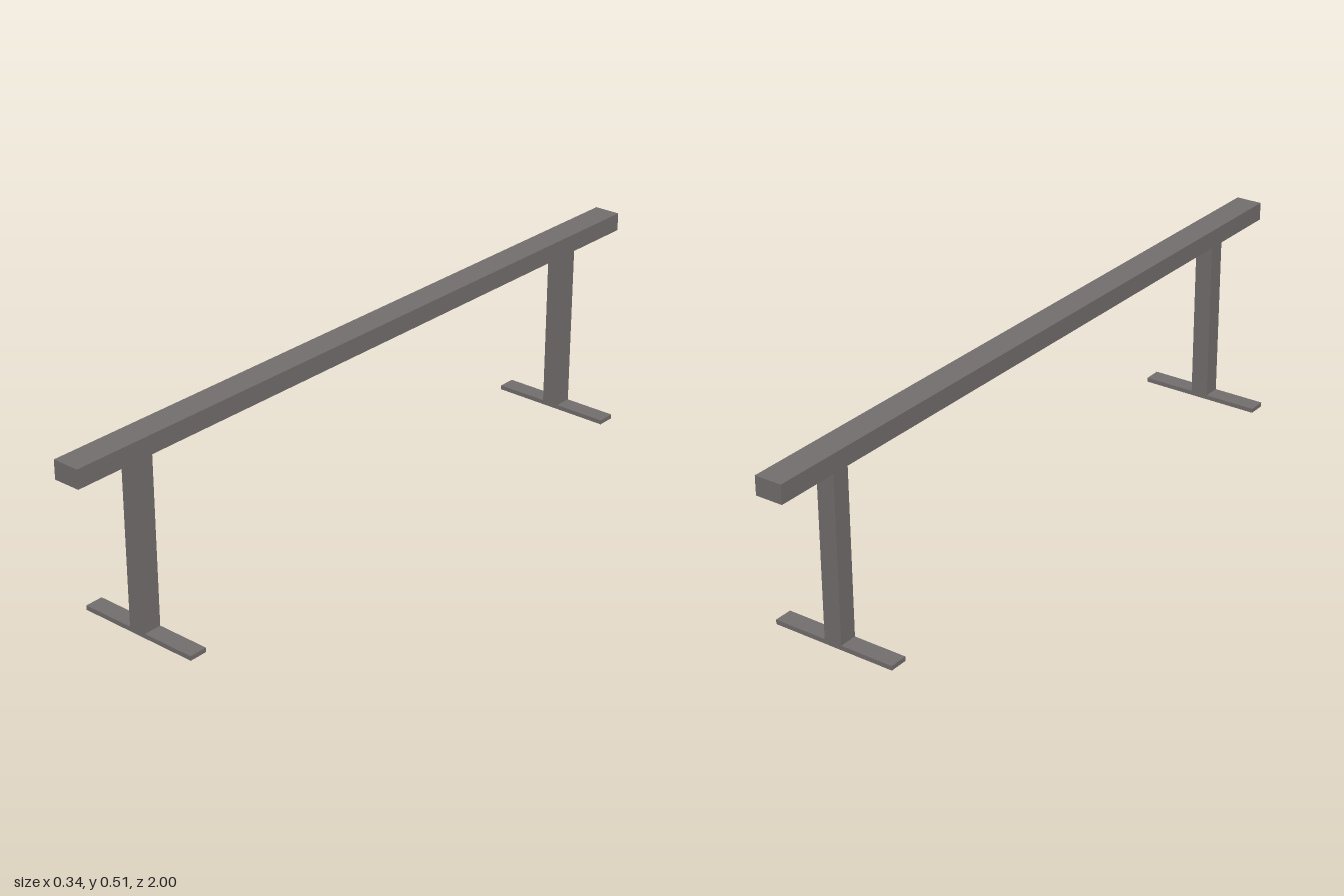
import * as THREE from 'three';

export function createModel() {
  const model = new THREE.Group();
  model.name = 'balanceRail';
  const steel = new THREE.MeshStandardMaterial({ color: 0x74706f });
  steel.name = 'warm grey steel';

  // Box placed by its bottom height
  const addBox = (parent, name, w, h, d, bottom) => {
    const mesh = new THREE.Mesh(new THREE.BoxGeometry(w, h, d), steel);
    mesh.name = name;
    mesh.position.y = bottom + h / 2;
    parent.add(mesh);
  };

  // Long rail on top
  addBox(model, 'rail', 0.073, 0.049, 2, 0.463);

  // A post on a flat cross foot near each end
  for (const [name, z] of [['frontSupport', 0.792], ['backSupport', -0.792]]) {
    const support = new THREE.Group();
    support.name = name;
    support.position.z = z;
    addBox(support, 'post', 0.049, 0.451, 0.049, 0.012);
    addBox(support, 'foot', 0.342, 0.012, 0.049, 0);
    model.add(support);
  }
  return model;
}
